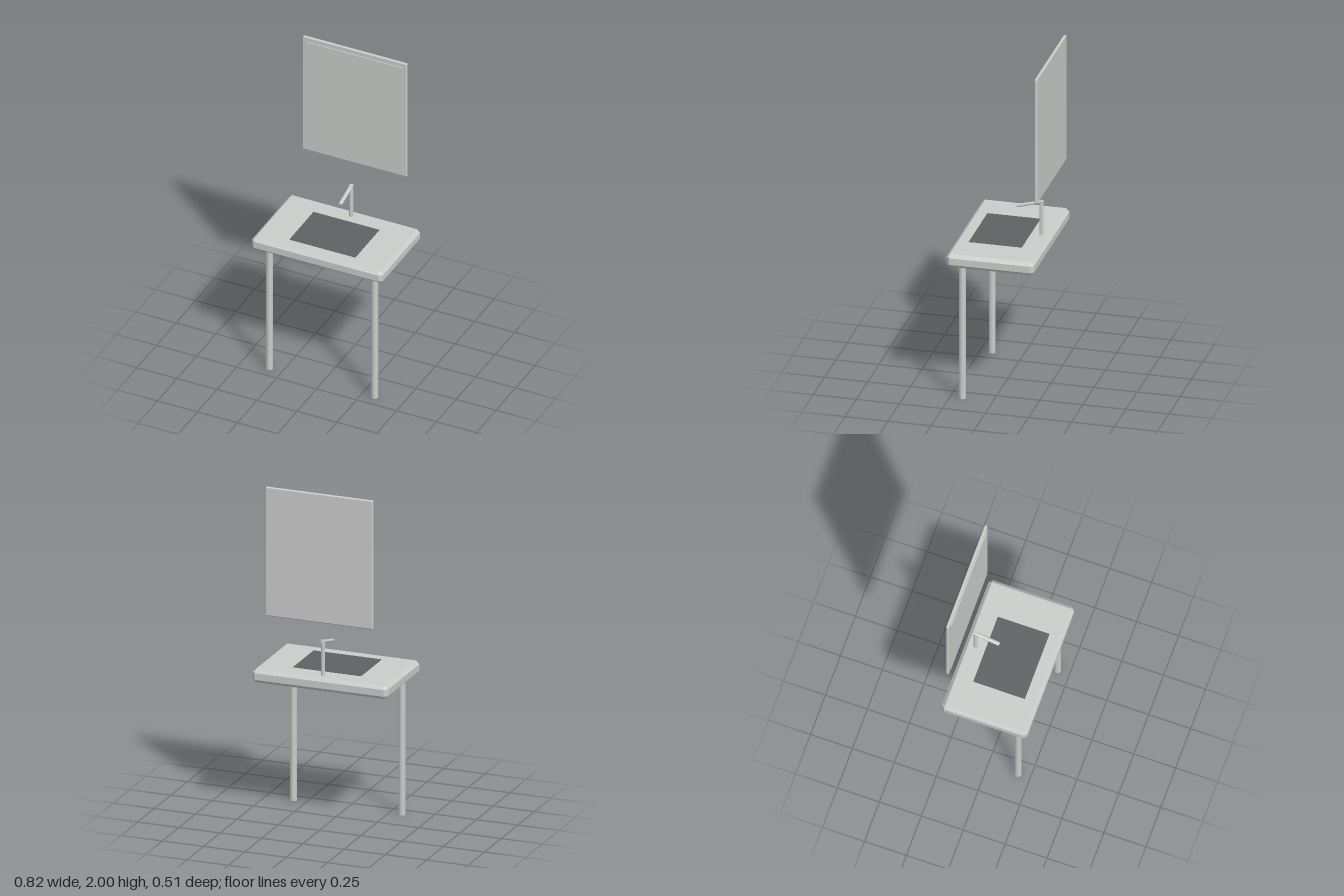
import * as THREE from 'three';
import { ConvexGeometry } from 'three/addons/geometries/ConvexGeometry.js';

// Box with every edge and corner cut at 45 degrees
function chamferedBox(w, h, d, c) {
  const points = [];
  for (const sx of [-1, 1]) for (const sy of [-1, 1]) for (const sz of [-1, 1]) {
    for (let axis = 0; axis < 3; axis++) {
      const half = [w / 2, h / 2, d / 2].map((v, i) => (i === axis ? v : v - c));
      points.push(new THREE.Vector3(sx * half[0], sy * half[1], sz * half[2]));
    }
  }
  return new ConvexGeometry(points);
}

export function createModel() {
  const model = new THREE.Group();
  model.name = 'washstand';
  const paleGrey = new THREE.MeshStandardMaterial({ color: 0xcbcdcb });
  paleGrey.name = 'pale grey';
  const darkGrey = new THREE.MeshStandardMaterial({ color: 0x606162 });
  darkGrey.name = 'dark grey';

  function add(name, geometry, material, x, y, z, parent = model) {
    const mesh = new THREE.Mesh(geometry, material);
    mesh.name = name;
    mesh.position.set(x, y, z);
    parent.add(mesh);
    return mesh;
  }

  // Countertop and basin panel
  add('countertop', chamferedBox(0.82, 0.08, 0.51, 0.02), paleGrey, 0, 0.865, 0);
  add('basin', new THREE.BoxGeometry(0.412, 0.004, 0.308), darkGrey, 0, 0.905, 0.02);

  // Two front legs
  const legGeometry = new THREE.CylinderGeometry(0.02, 0.02, 0.827, 12);
  for (const side of [-1, 1]) {
    add(side > 0 ? 'leftLeg' : 'rightLeg', legGeometry, paleGrey, side * 0.329, 0.4135, 0.178);
  }

  // Faucet: upright post and downward sloping spout
  const faucet = new THREE.Group();
  faucet.name = 'faucet';
  model.add(faucet);
  add('faucetPost', new THREE.CylinderGeometry(0.012, 0.012, 0.21, 10), paleGrey, 0, 1.008, -0.194, faucet);
  const start = new THREE.Vector3(0, 1.108, -0.204);
  const end = new THREE.Vector3(0, 1.067, -0.052);
  const middle = start.clone().lerp(end, 0.5);
  const spoutGeometry = new THREE.CylinderGeometry(0.012, 0.012, start.distanceTo(end), 10);
  spoutGeometry.scale(1, 1, 0.75);
  const spout = add('spout', spoutGeometry, paleGrey, middle.x, middle.y, middle.z, faucet);
  spout.rotation.x = Math.atan2(end.z - start.z, end.y - start.y);

  // Wall mirror: bevelled backing with a raised glass panel
  const mirror = new THREE.Group();
  mirror.name = 'mirror';
  model.add(mirror);
  add('mirrorBacking', chamferedBox(0.652, 0.765, 0.017, 0.005), paleGrey, 0, 1.6175, -0.2465, mirror);
  add('mirrorGlass', new THREE.BoxGeometry(0.598, 0.705, 0.008), paleGrey, 0, 1.6175, -0.236, mirror);

  return model;
}
